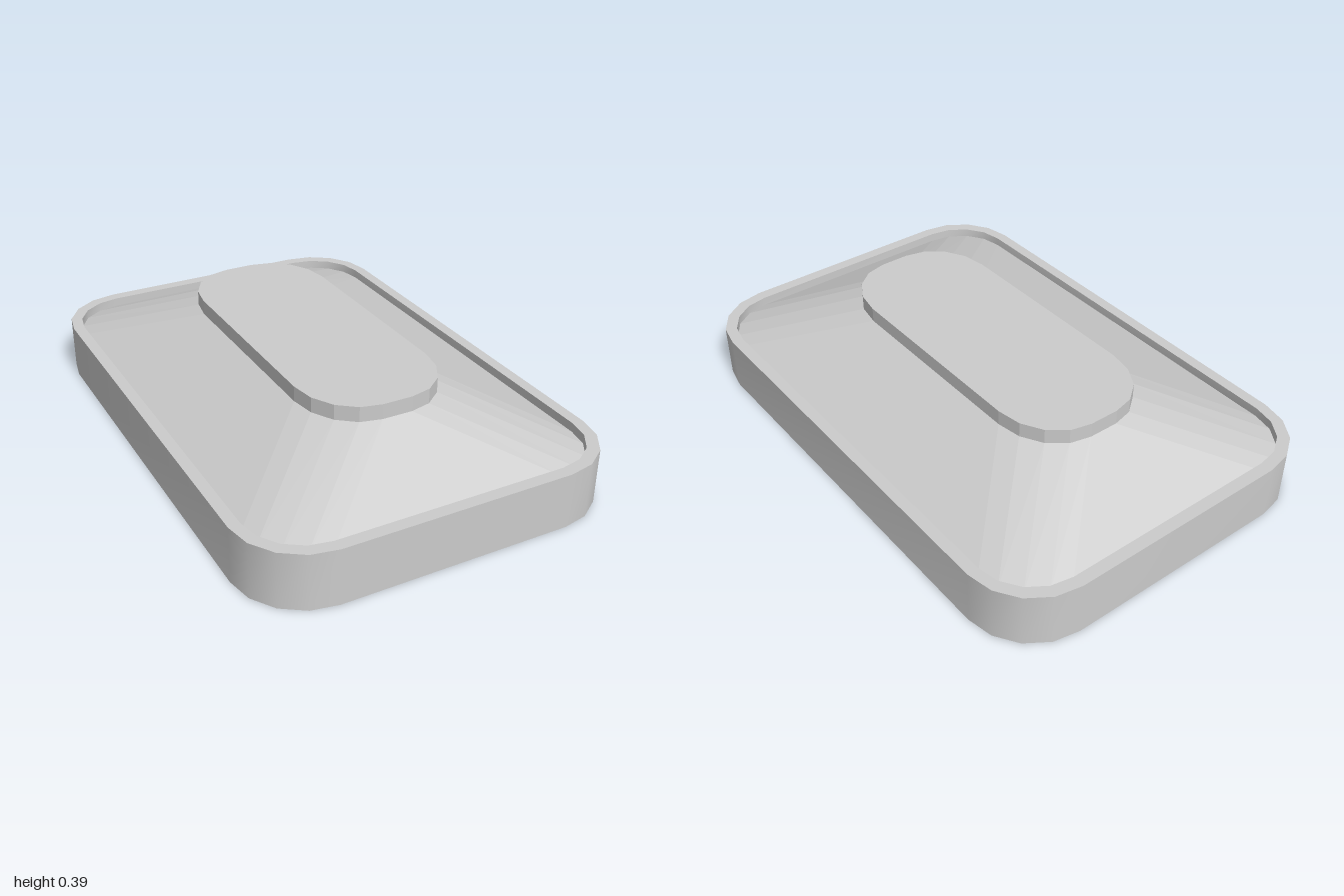
import * as THREE from 'three';
import { toCreasedNormals } from 'three/addons/utils/BufferGeometryUtils.js';

const SEGMENTS = 4; // facets per rounded corner

// Rounded rectangle at height y: half sizes hx, hz and corner radii rx, rz
function ring(y, hx, hz, rx, rz = rx) {
  const points = [];
  for (let corner = 0; corner < 4; corner++) {
    const sx = corner === 0 || corner === 3 ? 1 : -1;
    const sz = corner < 2 ? 1 : -1;
    for (let i = 0; i <= SEGMENTS; i++) {
      const a = (corner + i / SEGMENTS) * Math.PI / 2;
      points.push([sx * (hx - rx) + rx * Math.cos(a), y, sz * (hz - rz) + rz * Math.sin(a)]);
    }
  }
  return points;
}

// Skin a stack of rings, with optional flat caps on the first and last
function loft(rings, { bottom = false, top = false } = {}) {
  const pos = [];
  const n = rings[0].length;
  const last = rings[rings.length - 1];
  for (let i = 0; i < n; i++) {
    const j = (i + 1) % n;
    for (let k = 0; k < rings.length - 1; k++) {
      const [p, q] = [rings[k], rings[k + 1]];
      pos.push(...p[i], ...q[i], ...p[j], ...p[j], ...q[i], ...q[j]);
    }
    if (bottom) pos.push(0, rings[0][0][1], 0, ...rings[0][i], ...rings[0][j]);
    if (top) pos.push(0, last[0][1], 0, ...last[j], ...last[i]);
  }
  const geometry = new THREE.BufferGeometry();
  geometry.setAttribute('position', new THREE.Float32BufferAttribute(pos, 3));
  geometry.computeVertexNormals();
  return geometry;
}

export function createModel() {
  const group = new THREE.Group();
  const smooth = new THREE.MeshStandardMaterial({ color: 0xcccccc });
  const faceted = new THREE.MeshStandardMaterial({ color: 0xcccccc, flatShading: true });

  const add = (name, geometry, material) => {
    const mesh = new THREE.Mesh(geometry, material);
    mesh.name = name;
    group.add(mesh);
  };

  const innerFoot = ring(0.17, 0.623, 0.955, 0.205);
  const plateauFoot = ring(0.335, 0.255, 0.615, 0.2, 0.235);

  // Base tray: underside, outer wall, narrow rim and inner lip
  const tray = loft([
    ring(0, 0.665, 1, 0.247),
    ring(0.203, 0.665, 1, 0.247),
    ring(0.203, 0.623, 0.955, 0.205),
    innerFoot,
  ], { bottom: true });
  add('baseTray', toCreasedNormals(tray, Math.PI / 6), smooth);

  // Sloping shoulder rising from the lip to the plateau
  add('slopedShoulder', loft([innerFoot, plateauFoot]), faceted);

  // Raised oblong plateau
  add('topPlateau', loft([plateauFoot, ring(0.39, 0.255, 0.615, 0.2, 0.235)], { top: true }), faceted);

  return group;
}
